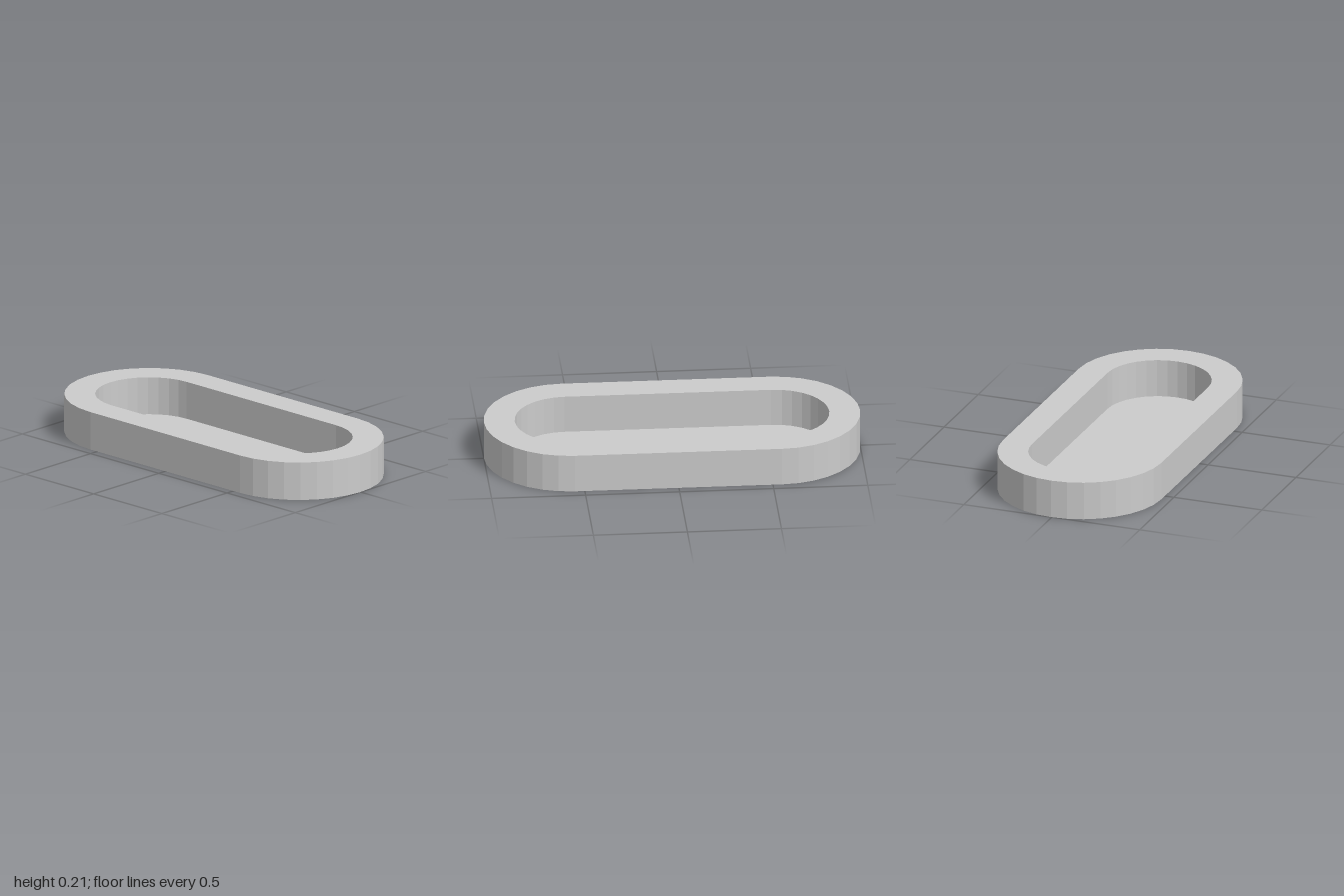
import * as THREE from 'three';

const HALF = 0.55; // distance from centre to each end arc's centre
const HEIGHT = 0.208;
const FLOOR = 0.003;

// Stadium outline: two half circles joined by straight sides
function stadium(path, radius) {
  path.absarc(0, HALF, radius, 0, Math.PI, false);
  path.absarc(0, -HALF, radius, Math.PI, 2 * Math.PI, false);
  path.closePath();
  return path;
}

// Extrude an outline upwards from height y
function slab(name, shape, y, depth, material) {
  const geometry = new THREE.ExtrudeGeometry(shape, { depth, bevelEnabled: false, curveSegments: 8 });
  geometry.rotateX(-Math.PI / 2).translate(0, y, 0);
  const mesh = new THREE.Mesh(geometry, material);
  mesh.name = name;
  return mesh;
}

export function createModel() {
  const group = new THREE.Group();
  group.name = 'tray';
  const material = new THREE.MeshStandardMaterial({ color: 0xcccccc, flatShading: true });

  // Thin floor under the whole outline
  group.add(slab('floor', stadium(new THREE.Shape(), 0.45), 0, FLOOR, material));

  // Thick wall around the recess
  const wall = stadium(new THREE.Shape(), 0.45);
  wall.holes.push(stadium(new THREE.Path(), 0.286));
  group.add(slab('wall', wall, FLOOR, HEIGHT - FLOOR, material));

  // The tray sits very slightly turned
  group.rotation.y = -0.003;
  return group;
}
